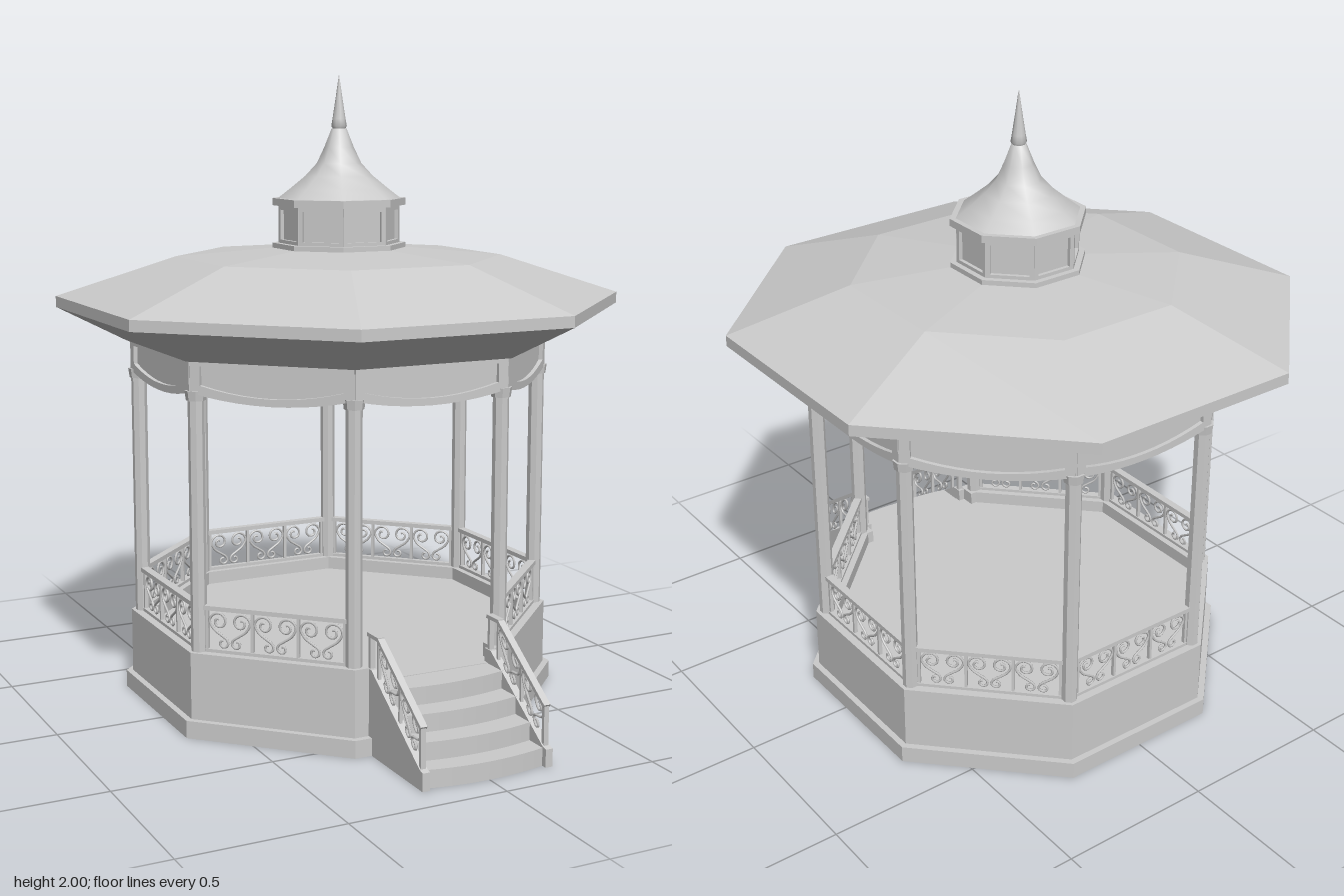
import * as THREE from 'three';
import { mergeGeometries } from 'three/addons/utils/BufferGeometryUtils.js';

const CZ = -0.066;            // centre of the octagonal pavilion in z
const STEP = Math.PI / 4;
const C8 = Math.cos(Math.PI / 8), T8 = Math.tan(Math.PI / 8);
const flat = new THREE.MeshStandardMaterial({ color: 0xcccccc, flatShading: true });
const smooth = new THREE.MeshStandardMaterial({ color: 0xcccccc });

function add(parent, name, geo, mat = flat) {
  const m = new THREE.Mesh(geo, mat);
  m.name = name;
  parent.add(m);
  return m;
}

// octagon corners [x, z] for a given apothem, starting at the front left corner
const octagon = a => Array.from({ length: 8 }, (_, i) => {
  const t = Math.PI / 8 + i * STEP;
  return [Math.sin(t) * a / C8, Math.cos(t) * a / C8];
});

const toShape = pts => new THREE.Shape(pts.map(p => new THREE.Vector2(p[0], p[1])));
const extrude = (shape, depth) => new THREE.ExtrudeGeometry(shape, { depth, bevelEnabled: false, curveSegments: 10 });

// extrude a plan outline given as [x, z] upwards from y0
function plan(pts, y0, h, hole) {
  const flip = p => p.map(([x, z]) => [x, -z]);
  const s = toShape(flip(pts));
  if (hole) s.holes.push(toShape(flip(hole)));
  return extrude(s, h).rotateX(-Math.PI / 2).translate(0, y0, 0);
}

// eight-sided turned form; profile is [apothem, y] from bottom to top
function turned(profile, segs = 8) {
  const pts = profile.map(([a, y]) => new THREE.Vector2(segs === 8 ? a / C8 : a, y));
  return new THREE.LatheGeometry(pts, segs, Math.PI / 8);
}

const box = (w, h, d, x, y, z) => new THREE.BoxGeometry(w, h, d).translate(x, y, z);

// square bar between two points
function bar(a, b, w, h = w) {
  const g = new THREE.BoxGeometry(w, h, a.distanceTo(b));
  const m = new THREE.Matrix4().lookAt(b, a, new THREE.Vector3(0, 1, 0));
  return g.applyMatrix4(m).translate((a.x + b.x) / 2, (a.y + b.y) / 2, (a.z + b.z) / 2);
}

// one S scroll: big spiral at the top, small curl at the foot; map places (u, v) in space
function scroll(map) {
  const pts = [];
  for (let i = 0; i <= 14; i++) {
    const t = i / 14, a = (1 - t) * Math.PI * 2.6, r = 0.007 + 0.023 * t;
    pts.push(map(0.036 + r * Math.cos(a), 0.085 + r * Math.sin(a)));
  }
  pts.push(map(0.053, 0.06), map(0.028, 0.042), map(0.011, 0.03));
  for (let i = 0; i <= 8; i++) {
    const t = i / 8, a = Math.PI + t * Math.PI * 1.6, r = 0.016 - 0.009 * t;
    pts.push(map(0.022 + r * Math.cos(a), 0.018 + r * Math.sin(a)));
  }
  return new THREE.TubeGeometry(new THREE.CatmullRomCurve3(pts), 56, 0.0042, 5);
}

// panel outline with a sagging lower edge
function sagging(Path, hw, top, end, mid) {
  const s = new Path();
  s.moveTo(-hw, top);
  s.lineTo(-hw, end);
  s.quadraticCurveTo(0, 2 * mid - end, hw, end);
  s.lineTo(hw, top);
  s.closePath();
  return s;
}

function railing() {
  const parts = [box(0.47, 0.014, 0.026, 0, 0.404, 0.6), box(0.47, 0.01, 0.018, 0, 0.27, 0.6)];
  for (let i = 0; i < 4; i++) parts.push(box(0.009, 0.135, 0.012, (i - 1.5) * 0.147, 0.333, 0.6));
  for (let i = -1; i <= 1; i++)
    for (const s of [-1, 1])
      parts.push(scroll((u, v) => new THREE.Vector3(i * 0.147 + s * u, 0.277 + v, 0.6)));
  return mergeGeometries(parts);
}

function buildBase(g) {
  add(g, 'plinth', plan(octagon(0.655), 0, 0.055, octagon(0.6)));
  add(g, 'baseWall', plan(octagon(0.635), 0.055, 0.145, octagon(0.6)));
  add(g, 'floor', plan(octagon(0.634), 0.195, 0.027));
  // raised curb, open at the front for the stairs
  const outer = octagon(0.635), inner = octagon(0.57), gap = 0.215;
  add(g, 'curb', plan([[gap, 0.635], ...outer, [-gap, 0.635], [-gap, 0.57], ...inner.reverse(), [gap, 0.57]], 0.2, 0.065));
}

function buildSides(g) {
  const railGeo = railing();
  const frame = sagging(THREE.Shape, 0.256, 1.16, 1.065, 1.036);
  frame.holes.push(sagging(THREE.Path, 0.225, 1.146, 1.088, 1.058));
  const frameGeo = extrude(frame, 0.03).translate(0, 0, 0.595);
  const panelGeo = extrude(sagging(THREE.Shape, 0.24, 1.155, 1.075, 1.045), 0.012).translate(0, 0, 0.6);
  const win = toShape([[-0.074, 1.47], [0.074, 1.47], [0.074, 1.595], [-0.074, 1.595]]);
  win.holes.push(toShape([[-0.06, 1.483], [-0.06, 1.578], [0.06, 1.578], [0.06, 1.483]]));
  const winGeo = extrude(win, 0.02).translate(0, 0, 0.16);
  for (let k = 0; k < 8; k++) {
    const side = new THREE.Group();
    side.name = 'side' + k;
    side.rotation.y = k * STEP;
    g.add(side);
    if (k > 0) add(side, 'railing', railGeo, smooth);
    add(side, 'valanceFrame', frameGeo);
    add(side, 'valancePanel', panelGeo);
    add(side, 'lanternFrame', winGeo);
    // corner post with a small capital
    const x = 0.6 * T8, z = 0.6;
    add(side, 'post', new THREE.CylinderGeometry(0.025, 0.025, 0.88, 8).rotateY(Math.PI / 8).translate(x, 0.705, z));
    add(side, 'postCapital', new THREE.CylinderGeometry(0.034, 0.03, 0.03, 8).rotateY(Math.PI / 8).translate(x, 1.055, z));
  }
}

function buildRoof(g) {
  add(g, 'roof', turned([[0, 1.16], [0.635, 1.16], [0.84, 1.27], [0.84, 1.305], [0.485, 1.43], [0.19, 1.457], [0, 1.46]]));
  add(g, 'lanternSill', plan(octagon(0.198), 1.45, 0.022));
  add(g, 'lanternBody', plan(octagon(0.168), 1.46, 0.14));
  add(g, 'lanternCornice', plan(octagon(0.198), 1.592, 0.023));
  add(g, 'lanternRoof', turned([[0.182, 1.614], [0.145, 1.645], [0.1, 1.685], [0.066, 1.725], [0.044, 1.775], [0.022, 1.835], [0, 1.836]]), smooth);
  add(g, 'finial', turned([[0.014, 1.825], [0.025, 1.842], [0.021, 1.865], [0.011, 1.93], [0.001, 2]], 10), smooth);
}

function buildStairs(g) {
  // bowed treads, lowest first
  [0.88, 0.81, 0.73, 0.65].forEach((z, i) => {
    const pts = [[0.2, 0.56], [-0.2, 0.56]];
    for (let j = 0; j <= 10; j++) {
      const t = j / 5 - 1;
      pts.push([t * 0.2, z + 0.025 * (1 - t * t)]);
    }
    add(g, 'step' + (i + 1), plan(pts, i * 0.055, 0.055));
  });
  const slope = 0.69, foot = z => 0.06 + slope * (0.88 - z);
  for (const s of [-1, 1]) {
    const x = s * 0.205, P = (y, z) => new THREE.Vector3(x, y, z);
    const wall = toShape([[0.55, 0], [0.9, 0], [0.9, 0.055], [0.882, 0.06], [0.585, foot(0.585)], [0.55, foot(0.585)]]);
    add(g, 'stringer', extrude(wall, 0.024).rotateY(-Math.PI / 2).translate(x + 0.012, 0, 0));
    const parts = [
      bar(P(0.18, 0.882), P(0.366, 0.618), 0.022, 0.012),
      bar(P(0.366, 0.624), P(0.366, 0.555), 0.022, 0.012),
      box(0.016, 0.13, 0.012, x, 0.122, 0.876),
      box(0.01, 0.13, 0.009, x, foot(0.745) + 0.06, 0.745),
      box(0.01, 0.135, 0.009, x, 0.302, 0.612),
      box(0.016, 0.12, 0.012, x, 0.31, 0.566),
    ];
    for (const c of [0.81, 0.678])
      for (const m of [-1, 1])
        parts.push(scroll((u, v) => {
          const z = c + m * u * 0.9;
          return P(foot(z) + 0.004 + v, z);
        }));
    add(g, 'stairRailing', mergeGeometries(parts), smooth);
  }
}

export function createModel() {
  const model = new THREE.Group();
  model.name = 'bandstand';
  const pavilion = new THREE.Group();
  pavilion.name = 'pavilion';
  pavilion.position.z = CZ;
  const stairs = new THREE.Group();
  stairs.name = 'stairs';
  model.add(pavilion, stairs);
  buildBase(pavilion);
  buildSides(pavilion);
  buildRoof(pavilion);
  buildStairs(stairs);
  return model;
}
